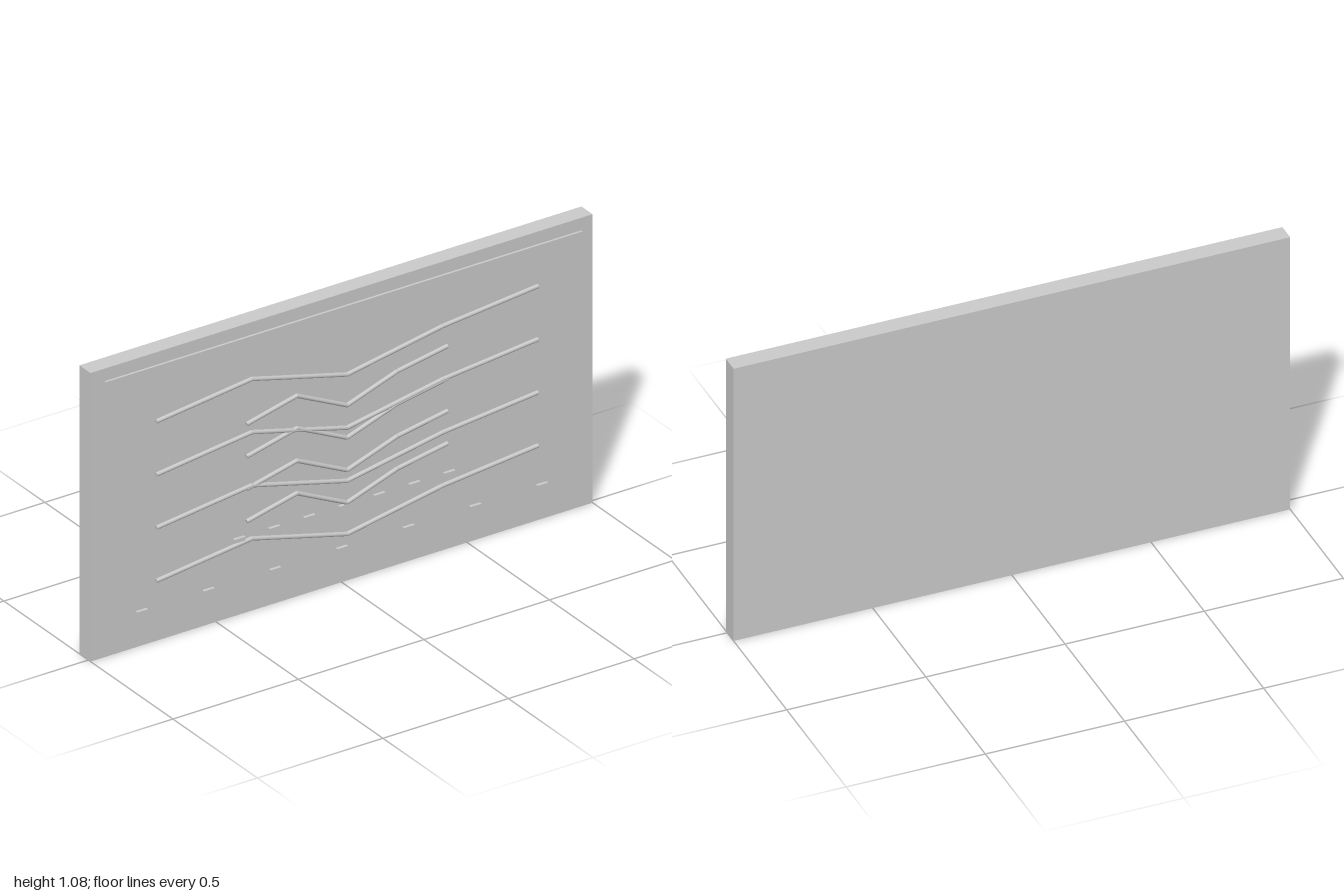
import * as THREE from 'three';

export function createModel() {
  const group = new THREE.Group();
  const grey = new THREE.MeshStandardMaterial({ color: 0xcccccc });
  grey.name = 'light grey';

  const addBox = (name, w, h, d, x, y, z) => {
    const mesh = new THREE.Mesh(new THREE.BoxGeometry(w, h, d), grey);
    mesh.name = name;
    mesh.position.set(x, y, z);
    group.add(mesh);
  };

  // Thick backing slab and the thin sheet floating in front of it
  addBox('backingSlab', 2, 1.08, 0.066, 0, 0.54, -0.02);
  addBox('frontSheet', 1.9, 0.992, 0.009, 0, 0.541, 0.0235);

  // Bent rod made of straight round lengths
  const rodRadius = 0.008, rodZ = 0.045;
  const addRod = (name, step, heights, drop) => {
    const rod = new THREE.Group();
    rod.name = name;
    const points = heights.map((y, i) => new THREE.Vector3((i - 2) * step, y - drop, rodZ));
    for (let i = 0; i < points.length - 1; i++) {
      const dir = points[i + 1].clone().sub(points[i]);
      const length = dir.length();
      const part = new THREE.Mesh(new THREE.CylinderGeometry(rodRadius, rodRadius, length, 8), grey);
      part.name = 'rodLength';
      part.position.copy(points[i]).addScaledVector(dir, 0.5);
      part.quaternion.setFromUnitVectors(new THREE.Vector3(0, 1, 0), dir.normalize());
      rod.add(part);
    }
    group.add(rod);
  };
  for (let i = 0; i < 4; i++) {
    addRod('wideRod', 0.38, [0.842, 0.888, 0.792, 0.86, 0.897], i * 0.199);
    addRod('narrowRod', 0.2, [0.725, 0.772, 0.677, 0.745, 0.78], i * 0.1215);
  }

  // Two rows of small blocks
  for (let i = 0; i < 7; i++) {
    addBox('lowerBlock', 0.043, 0.014, 0.012, -0.816 + i * 0.2657, 0.144, 0.043);
    addBox('upperBlock', 0.043, 0.014, 0.012, -0.428 + i * 0.1395, 0.3, 0.043);
  }
  return group;
}
